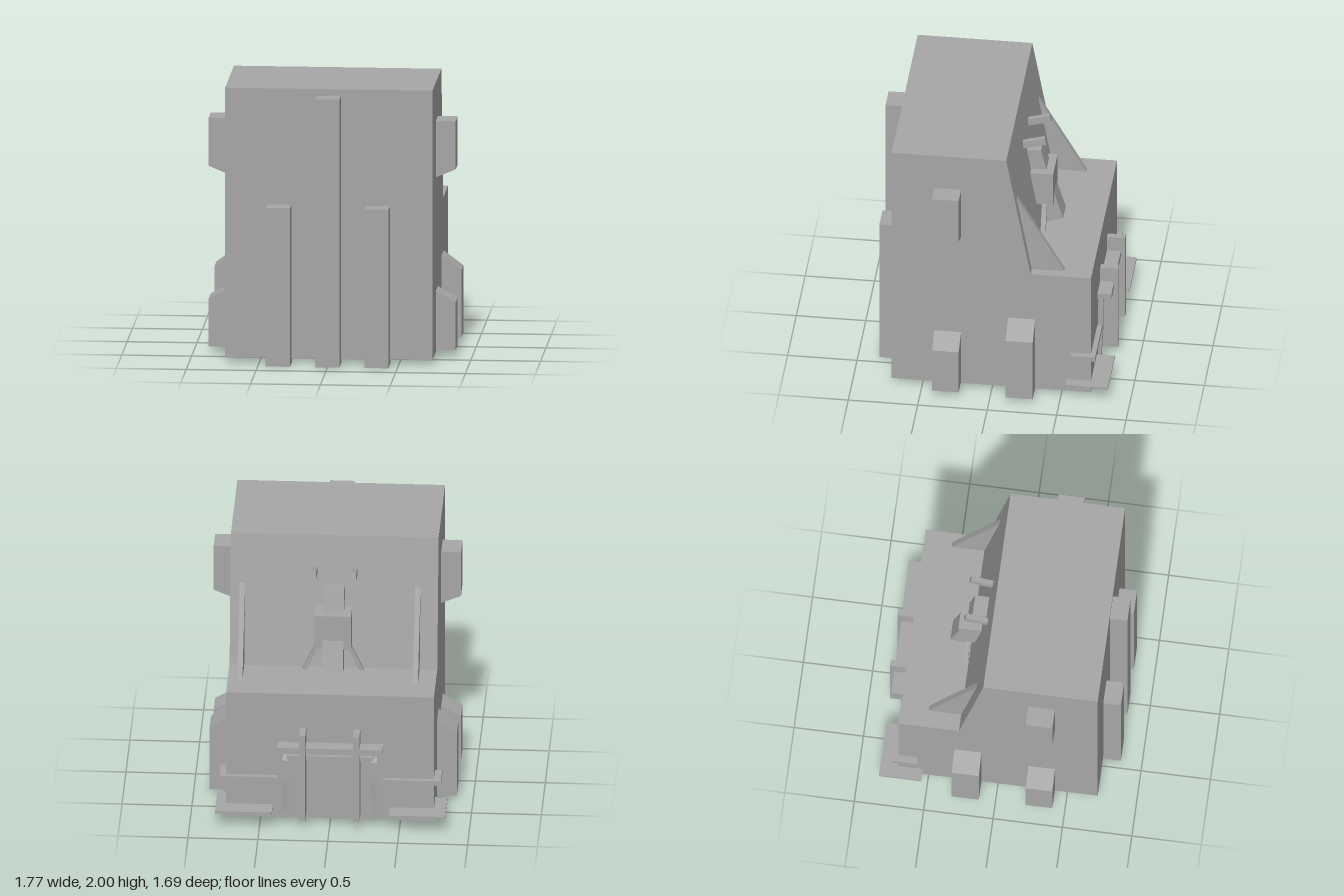
import * as THREE from 'three';

export function createModel() {
  const group = new THREE.Group();
  const stone = new THREE.MeshStandardMaterial({ color: 0xa6a6a6 });
  stone.name = 'grey stone';

  const add = (name, geometry) => {
    const mesh = new THREE.Mesh(geometry, stone);
    mesh.name = name;
    group.add(mesh);
    return mesh;
  };

  // Box given by its limits on each axis
  const box = (name, x0, x1, y0, y1, z0, z1) =>
    add(name, new THREE.BoxGeometry(x1 - x0, y1 - y0, z1 - z0)
      .translate((x0 + x1) / 2, (y0 + y1) / 2, (z0 + z1) / 2));

  // Side profile of [z, y] points, extruded from x0 to x1
  const sideProfile = (name, points, x0, x1) => {
    const shape = new THREE.Shape(points.map(([z, y]) => new THREE.Vector2(-z, y)));
    const g = new THREE.ExtrudeGeometry(shape, { depth: x1 - x0, bevelEnabled: false });
    return add(name, g.rotateY(Math.PI / 2).translate(x0, 0, 0));
  };

  // Front profile of [x, y] points, extruded from z0 to z1
  const frontProfile = (name, points, z0, z1) => {
    const shape = new THREE.Shape(points.map(([x, y]) => new THREE.Vector2(x, y)));
    const g = new THREE.ExtrudeGeometry(shape, { depth: z1 - z0, bevelEnabled: false });
    return add(name, g.translate(0, 0, z0));
  };

  // Main block with a sloped back wall and a ledge
  sideProfile('body', [[0.72, 0.04], [0.72, 2], [-0.105, 2], [-0.28, 1.03],
    [-0.715, 1.03], [-0.715, 0.04]], -0.743, 0.743);

  // Front pillars
  box('middlePillar', -0.088, 0.086, 0, 1.95, 0.67, 0.847);
  box('rightPillar', -0.442, -0.268, 0, 1.155, 0.67, 0.847);
  box('leftPillar', 0.264, 0.438, 0, 1.155, 0.67, 0.847);

  for (const [side, s] of [['left', 1], ['right', -1]]) {
    // Side buttresses with sloped ends
    const buttress = (name, points, z0, z1) =>
      frontProfile(side + name, points.map(([x, y]) => [s * x, y]), z0, z1);
    buttress('UpperButtress', [[0.72, 1.3], [0.885, 1.37], [0.885, 1.72], [0.72, 1.72]], 0.22, 0.412);
    buttress('FrontButtress', [[0.72, 0.055], [0.885, 0.055], [0.885, 0.403], [0.72, 0.495]], 0.22, 0.412);
    buttress('BackButtress', [[0.72, 0.042], [0.885, 0.042], [0.885, 0.533], [0.72, 0.655]], -0.313, -0.118);

    // Splayed strut under the torso
    buttress('Strut', [[0.1, 1.22], [0.13, 1.22], [0.22, 1.03], [0.185, 1.03]], -0.32, -0.285);

    // Triangular fin between the slope and the ledge
    const fin = s > 0 ? 0.638 : -0.617;
    sideProfile(side + 'Fin', [[-0.17, 1.635], [-0.515, 1.03], [-0.27, 1.03]], fin, fin + 0.038);

    // Tilted peg above the figure
    const peg = s > 0 ? 0.122 : -0.165;
    sideProfile(side + 'Peg', [[-0.15, 1.762], [-0.307, 1.806], [-0.32, 1.754], [-0.155, 1.71]],
      peg, peg + 0.036);

    // Steps, rails and posts on the lower back
    const post = s > 0 ? 0.17 : -0.217;
    box(side + 'Post', post, post + 0.045, 0.08, 0.76, -0.845, -0.7);
    const step = s > 0 ? 0.41 : -0.83;
    box(side + 'Step', step, step + 0.405, 0.122, 0.14, -0.845, -0.54);
    const rail = s > 0 ? 0.375 : -0.795;
    box(side + 'Rail', rail, rail + 0.415, 0.34, 0.375, -0.75, -0.573);
    sideProfile(side + 'Blade', [[-0.705, 0.555], [-0.75, 0.51], [-0.75, 0.35],
      [-0.737, 0.09], [-0.737, 0.045], [-0.705, 0.11]], s * 0.315 - 0.022, s * 0.315 + 0.022);
  }

  // Crossbars joining the back posts
  box('upperCrossbar', -0.38, 0.375, 0.598, 0.645, -0.815, -0.7);
  box('lowerCrossbar', -0.31, 0.31, 0.52, 0.55, -0.748, -0.7);

  // Blocky figure leaning on the slope
  box('torso', -0.13, 0.13, 1.215, 1.48, -0.365, -0.2);
  sideProfile('head', [[-0.15, 1.64], [-0.27, 1.645], [-0.315, 1.46], [-0.2, 1.46]], -0.076, 0.074);
  sideProfile('leg', [[-0.365, 1.285], [-0.43, 1.07], [-0.315, 1.03], [-0.25, 1.25]], -0.076, 0.074);

  return group;
}
